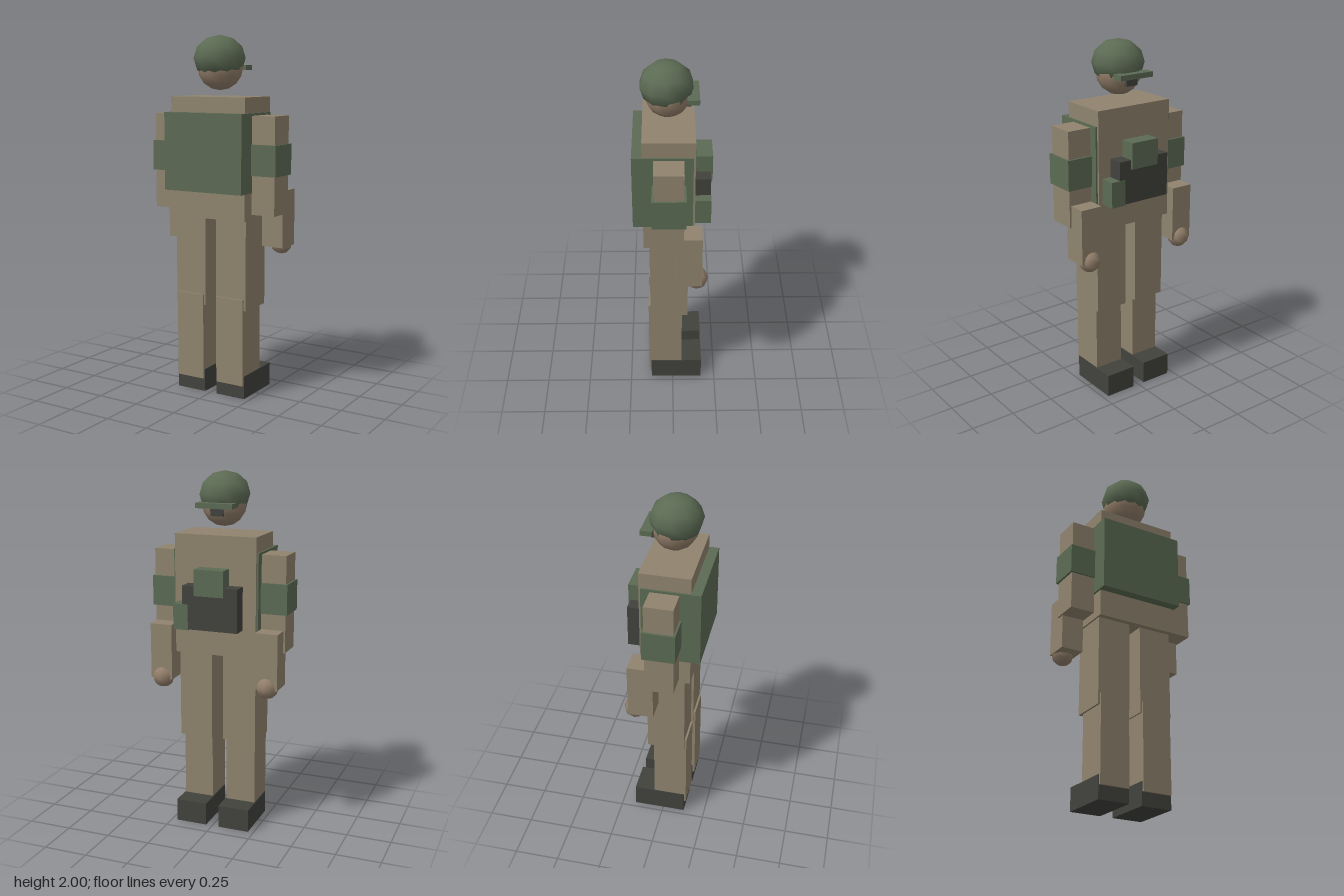
import * as THREE from 'three';

const mat = (name, color) => {
  const m = new THREE.MeshStandardMaterial({ color });
  m.name = name;
  return m;
};

export function createModel() {
  const cloth = mat('tan cloth', 0x90846e);
  const green = mat('olive green', 0x5c6b54);
  const dark = mat('dark grey', 0x42423d);
  const skin = mat('skin', 0x937f6a);
  const model = new THREE.Group();
  model.name = 'soldier';

  // box given by its lower and upper limits on each axis
  const box = (name, material, [x0, x1], [y0, y1], [z0, z1]) => {
    const mesh = new THREE.Mesh(new THREE.BoxGeometry(x1 - x0, y1 - y0, z1 - z0), material);
    mesh.position.set((x0 + x1) / 2, (y0 + y1) / 2, (z0 + z1) / 2);
    mesh.name = name;
    model.add(mesh);
  };
  const ball = (name, material, pos, [rx, ry, rz], across, down) => {
    const mesh = new THREE.Mesh(new THREE.SphereGeometry(1, across, down), material);
    mesh.scale.set(rx, ry, rz);
    mesh.position.set(...pos);
    mesh.name = name;
    model.add(mesh);
  };

  // body and vest
  box('torso', cloth, [-0.235, 0.235], [1.005, 1.668], [-0.118, 0.158]);
  box('vest', green, [-0.245, 0.245], [1.155, 1.583], [-0.107, 0.212]);

  // chest gear, on the -z side
  box('chestRig', dark, [-0.16, 0.158], [1.16, 1.4], [-0.203, -0.116]);
  box('radioPouch', green, [-0.085, 0.085], [1.35, 1.494], [-0.214, -0.127]);
  box('sidePouch', green, [0.125, 0.211], [1.155, 1.298], [-0.205, -0.11]);

  // head, helmet and face
  ball('head', skin, [0, 1.827, 0.024], [0.126, 0.126, 0.122], 12, 8);
  ball('helmet', green, [0, 1.875, 0.03], [0.143, 0.125, 0.143], 10, 6);
  box('helmetBrim', green, [-0.106, 0.106], [1.81, 1.838], [-0.139, -0.076]);
  box('faceStrip', dark, [-0.035, 0.035], [1.766, 1.804], [-0.097, -0.07]);

  // arms and legs, mirrored
  for (const [side, s] of [['left', 1], ['right', -1]]) {
    const x = (a, b) => (s > 0 ? [a, b] : [-b, -a]);
    box(side + 'UpperArm', cloth, x(0.243, 0.383), [1.038, 1.57], [-0.058, 0.099]);
    box(side + 'ArmBand', green, x(0.233, 0.394), [1.25, 1.418], [-0.07, 0.11]);
    box(side + 'Forearm', cloth, x(0.246, 0.373), [0.848, 1.162], [-0.156, -0.016]);
    ball(side + 'Hand', skin, [s * 0.309, 0.857, -0.129], [0.063, 0.063, 0.063], 8, 6);
    box(side + 'Thigh', cloth, x(0.034, 0.225), [0.505, 1.01], [-0.085, 0.127]);
    box(side + 'Shin', cloth, x(0.043, 0.214), [0.076, 0.566], [-0.053, 0.138]);
    box(side + 'Boot', dark, x(0.038, 0.218), [0, 0.13], [-0.17, 0.127]);
  }
  return model;
}
